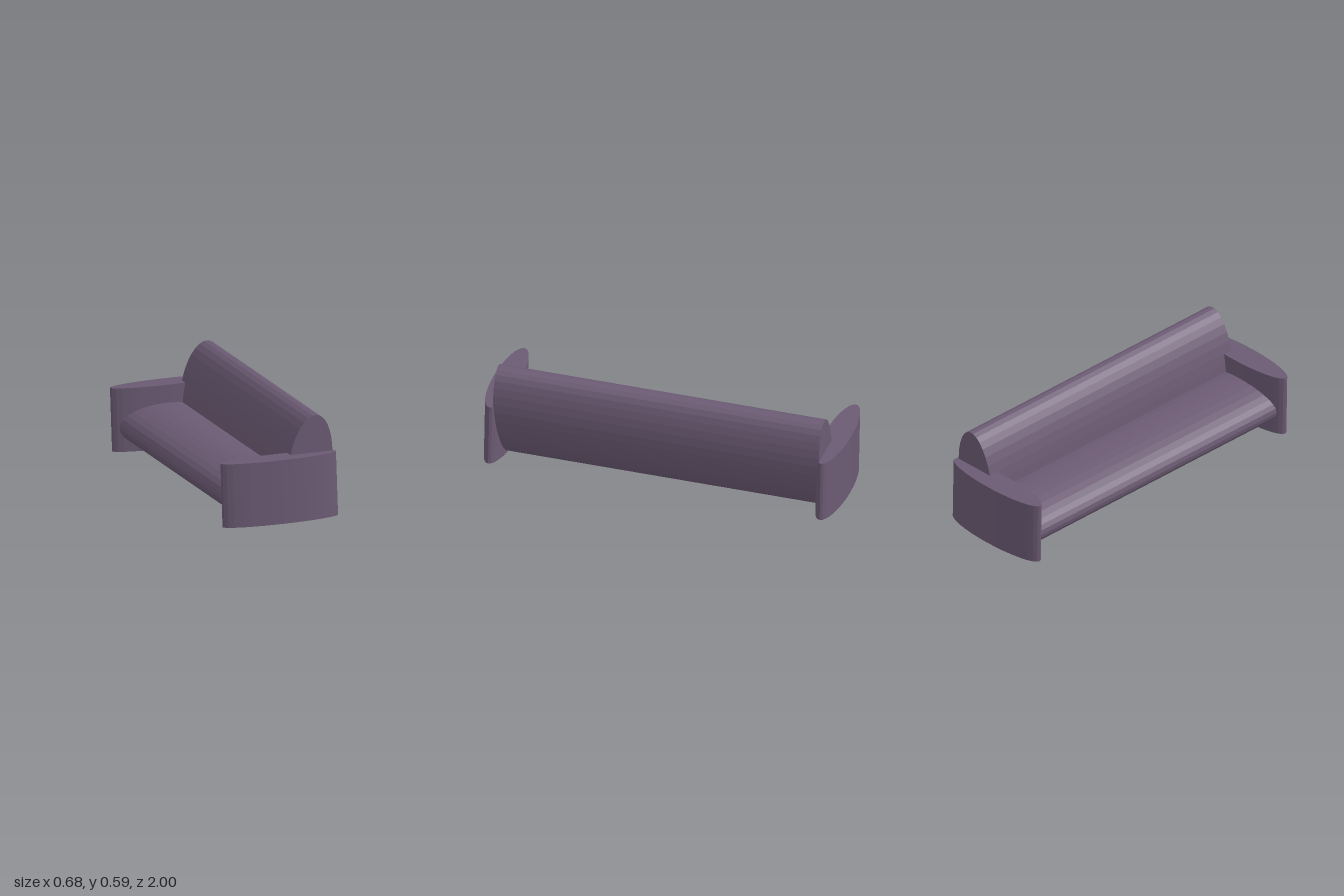
import * as THREE from 'three';

export function createModel() {
  const model = new THREE.Group();
  model.name = 'sofa';
  const material = new THREE.MeshStandardMaterial({ color: 0x6b5a73, flatShading: true });

  // The whole sofa sits slightly askew
  const body = new THREE.Group();
  body.name = 'sofaBody';
  body.position.y = 0.196;
  body.rotation.set(-0.01, 0.011, 0.031);
  model.add(body);

  const add = (name, geometry, x, y, z) => {
    const mesh = new THREE.Mesh(geometry, material);
    mesh.name = name;
    mesh.position.set(x, y, z);
    body.add(mesh);
  };

  // Elliptical bolster lying along z, leaning about its own axis
  const bolster = (rx, ry, length, lean) =>
    new THREE.CylinderGeometry(1, 1, length, 32)
      .rotateX(Math.PI / 2)
      .scale(rx, ry, 1)
      .rotateZ(lean);

  add('seat', bolster(0.26, 0.122, 1.82, 0), -0.031, -0.045, 0);
  add('backrest', bolster(0.121, 0.281, 1.82, -0.17), 0.183, 0.103, 0);

  // Upright elliptical armrests
  for (const side of [1, -1]) {
    const arm = new THREE.CylinderGeometry(1, 1, 0.35, 32).scale(0.326, 1, 0.073);
    add(side > 0 ? 'frontArmrest' : 'backArmrest', arm, 0, 0, side * 0.925);
  }

  return model;
}
